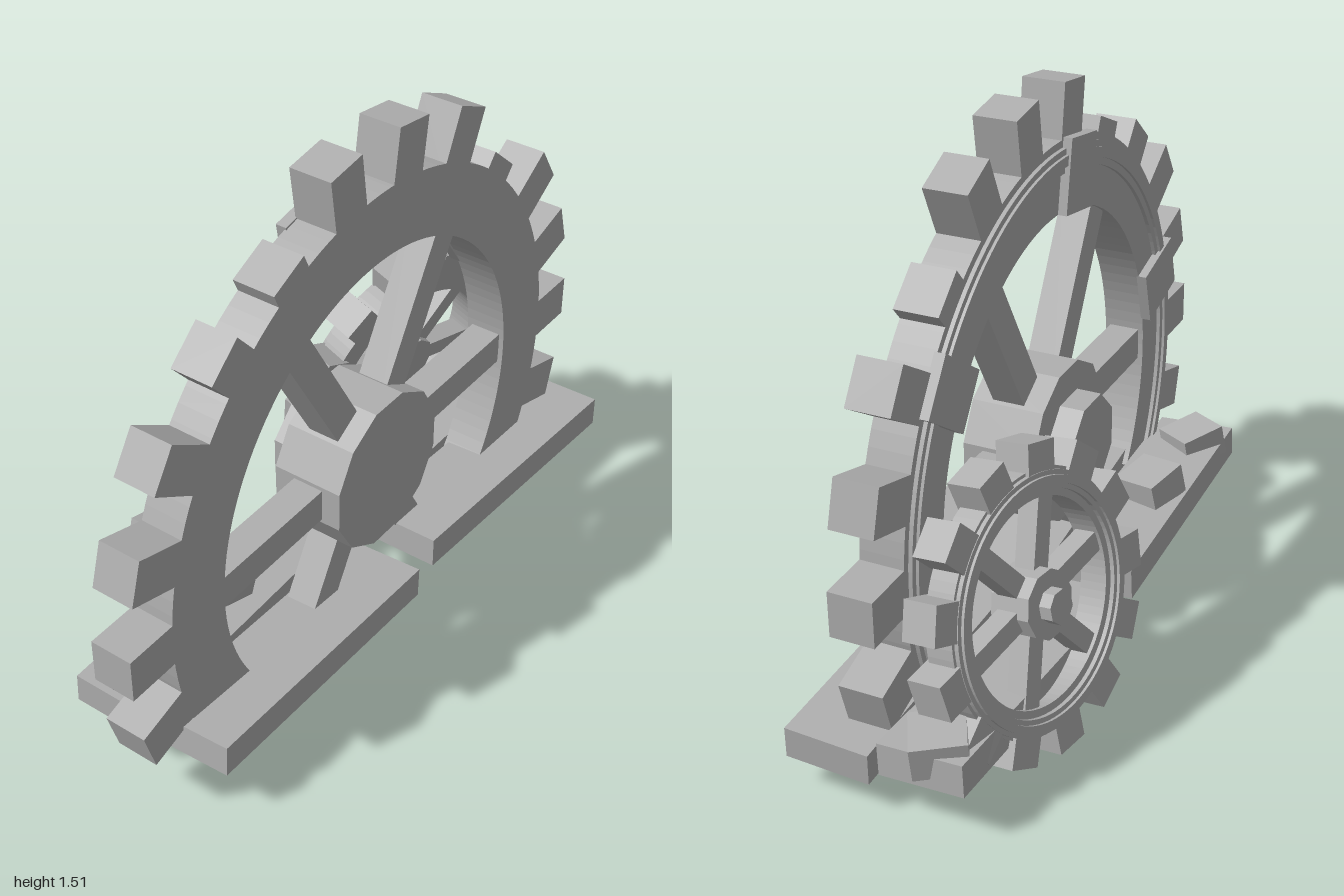
import * as THREE from 'three';

const stone = new THREE.MeshStandardMaterial({ color: 0xb0b0b0 });
stone.name = 'stoneGrey';
const rad = THREE.MathUtils.degToRad;

function add(parent, name, geometry, x = 0, y = 0, z = 0) {
  const mesh = new THREE.Mesh(geometry, stone);
  mesh.name = name;
  mesh.position.set(x, y, z);
  parent.add(mesh);
  return mesh;
}

// Box lying along a radius of a wheel, from r0 to r1
function radial(parent, name, deg, r0, r1, width, z0, z1) {
  const a = rad(deg), r = (r0 + r1) / 2;
  const mesh = add(parent, name, new THREE.BoxGeometry(r1 - r0, width, z1 - z0),
    r * Math.cos(a), r * Math.sin(a), (z0 + z1) / 2);
  mesh.rotation.z = a;
  return mesh;
}

// Disc facing z with a flat side to the top
function disc(parent, name, radius, sides, z0, z1) {
  const geometry = new THREE.CylinderGeometry(radius, radius, z1 - z0, sides).toNonIndexed();
  geometry.rotateY(Math.PI / sides);
  geometry.rotateX(Math.PI / 2);
  geometry.computeVertexNormals();
  return add(parent, name, geometry, 0, 0, (z0 + z1) / 2);
}

// Flat ring; with a cut height the part below it is left out
function ring(parent, name, outer, inner, z0, z1, cut) {
  const shape = new THREE.Shape();
  if (cut === undefined) {
    shape.absarc(0, 0, outer, 0, Math.PI * 2, false);
    const hole = new THREE.Path();
    hole.absarc(0, 0, inner, 0, Math.PI * 2, true);
    shape.holes.push(hole);
  } else {
    const ao = Math.asin(cut / outer), ai = Math.asin(cut / inner);
    shape.absarc(0, 0, outer, ao, Math.PI - ao, false);
    shape.absarc(0, 0, inner, Math.PI - ai, ai, true);
  }
  const geometry = new THREE.ExtrudeGeometry(shape,
    { depth: z1 - z0, bevelEnabled: false, curveSegments: 40 });
  return add(parent, name, geometry, 0, 0, z0);
}

function largeWheel() {
  const wheel = new THREE.Group();
  wheel.name = 'largeWheel';
  wheel.position.set(-0.017, 0.52, 0);
  ring(wheel, 'rim', 0.835, 0.64, 0.035, 0.155, -0.36);
  ring(wheel, 'rimTrimBand', 0.815, 0.75, 0.024, 0.036, -0.35);
  ring(wheel, 'rimTrimBead', 0.798, 0.77, 0.016, 0.025, -0.35);

  // Teeth, three of them broken short
  const worn = { 3: 0.88, 7: 0.875, 8: 0.92 };
  for (let i = -1; i <= 12; i++) {
    radial(wheel, 'tooth', i * 360 / 22, 0.8, worn[i] ?? 0.982, 0.125, 0.035, 0.155);
  }
  // Spokes, the lower pair ending in the base
  for (let i = 0; i < 6; i++) {
    radial(wheel, 'spoke', i * 60, 0.15, i > 3 ? 0.43 : 0.66, 0.095, 0.05, 0.14);
  }
  // Plates clamped over the back of the rim
  for (const deg of [35, 100, 165]) {
    radial(wheel, 'rimPlate', deg, 0.635, 0.838, 0.16, 0.01, 0.04);
  }
  disc(wheel, 'hub', 0.228, 12, -0.01, 0.195);
  disc(wheel, 'hubBoss', 0.145, 8, -0.08, 0);
  return wheel;
}

function smallWheel() {
  const wheel = new THREE.Group();
  wheel.name = 'smallWheel';
  wheel.position.set(0.56, 0.4, -0.165);
  // Lean the wheel back and to the side
  wheel.quaternion.setFromUnitVectors(new THREE.Vector3(0, 0, 1),
    new THREE.Vector3(-0.2, -0.2, 1).normalize());
  ring(wheel, 'smallRim', 0.338, 0.265, -0.04, 0.04);
  ring(wheel, 'smallTrimBand', 0.33, 0.285, -0.052, -0.039);
  ring(wheel, 'smallTrimBead', 0.318, 0.298, -0.06, -0.05);
  for (let i = 0; i < 13; i++) {
    radial(wheel, 'smallTooth', 270 + i * 360 / 13, 0.32, 0.405, 0.1, -0.05, 0.05);
  }
  for (let i = 0; i < 6; i++) {
    radial(wheel, 'smallSpoke', 172 + i * 60, 0.05, 0.28, 0.055, -0.03, 0.03);
  }
  disc(wheel, 'smallHub', 0.09, 10, -0.065, 0.05);
  disc(wheel, 'smallHubBoss', 0.045, 8, -0.1, -0.06);
  return wheel;
}

function base() {
  const group = new THREE.Group();
  group.name = 'base';
  // Four uneven slabs: x, y, z, tilt about x, y and z
  const slabs = [
    ['frontLeftSlab', 0.55, 0.143, 0.163, -0.03, -0.02, -0.048],
    ['backLeftSlab', 0.55, 0.143, -0.098, 0.06, -0.03, 0.05],
    ['frontRightSlab', -0.4, 0.143, 0.163, -0.03, 0.028, -0.088],
    ['backRightSlab', -0.4, 0.143, -0.095, 0.04, 0.028, -0.006],
  ];
  for (const [name, x, y, z, rx, ry, rz] of slabs) {
    add(group, name, new THREE.BoxGeometry(0.88, 0.088, 0.232), x, y, z).rotation.set(rx, ry, rz);
  }
  // Loose broken blocks
  const blocks = [
    [-0.725, 0.19, -0.11, 0.1, -0.6, -0.1],
    [-0.375, 0.22, -0.11, 0.12, -0.3, -0.12],
    [0.92, 0.2, -0.1, 0.1, 0.5, -0.1],
  ];
  for (const [x, y, z, rx, ry, rz] of blocks) {
    add(group, 'brokenBlock', new THREE.BoxGeometry(0.14, 0.09, 0.14), x, y, z).rotation.set(rx, ry, rz);
  }
  return group;
}

export function createModel() {
  const model = new THREE.Group();
  model.name = 'ruinedGears';
  model.add(largeWheel(), smallWheel(), base());
  return model;
}
